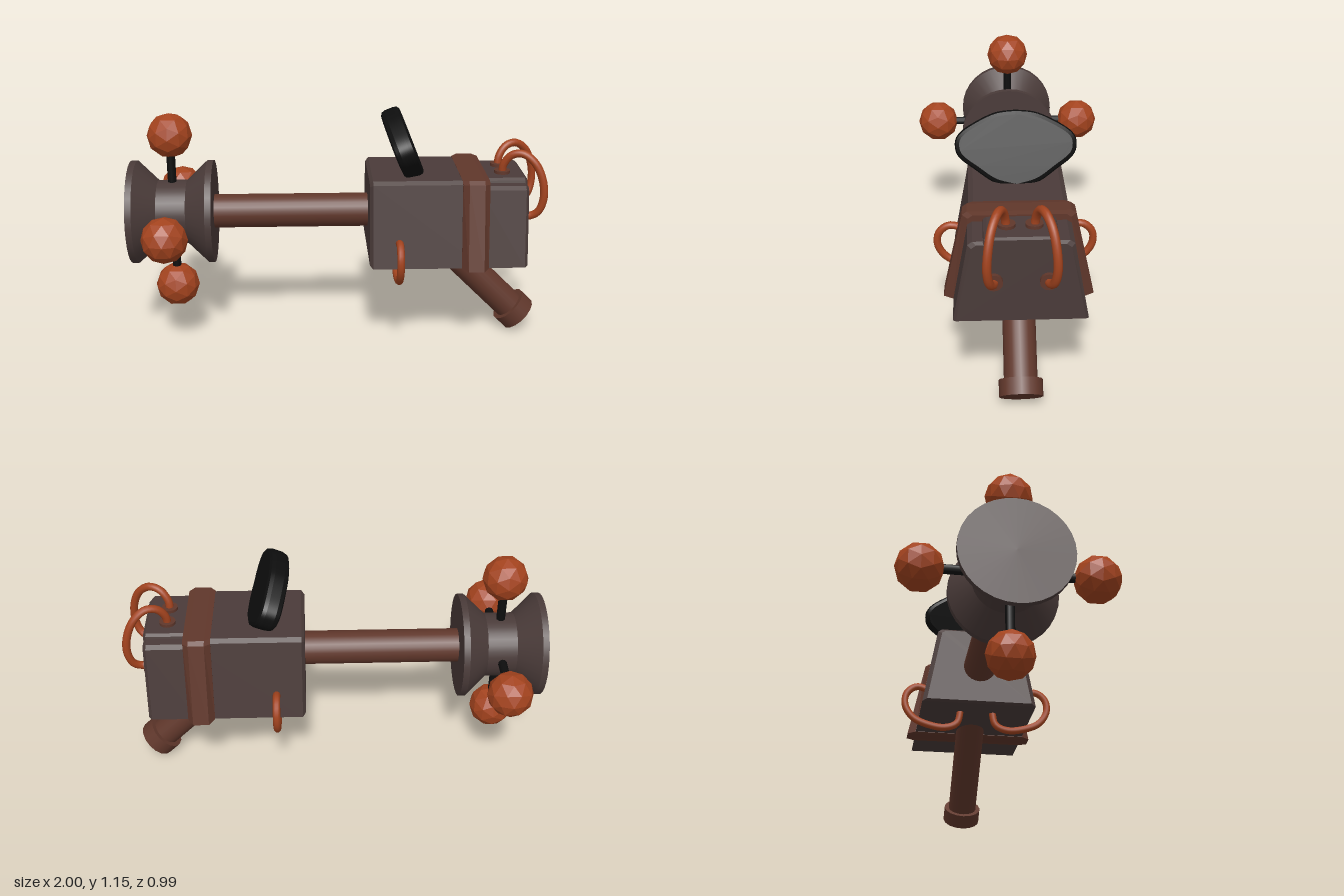
import * as THREE from 'three';

const mat = (color, flatShading = false) =>
  new THREE.MeshStandardMaterial({ color, flatShading });
const HULL = 0x4a3b39, ORANGE = 0xa3431e, BROWN = 0x60372b, BLACK = 0x0e0e0e;
const AXIS_Y = 0.655;

// Lofts a chamfered trapezoid section along x; each section is [x, bottom half, top half, y0, y1]
function trapezoidLoft(sections, chamfer = 0.015) {
  const pos = [], idx = [], n = 6;
  for (const [x, b, t, y0, y1] of sections) {
    const ring = [[b, y0], [t + chamfer * 0.4, y1 - chamfer], [t - chamfer, y1],
      [-t + chamfer, y1], [-t - chamfer * 0.4, y1 - chamfer], [-b, y0]];
    for (const [z, y] of ring) pos.push(x, y, z);
  }
  const last = (sections.length - 1) * n;
  for (let s = 0; s < sections.length - 1; s++) {
    for (let i = 0; i < n; i++) {
      const a = s * n + i, b = s * n + (i + 1) % n;
      idx.push(a, a + n, b, b, a + n, b + n);
    }
  }
  for (let i = 1; i < n - 1; i++) {
    idx.push(0, i, i + 1, last, last + i + 1, last + i);
  }
  const g = new THREE.BufferGeometry();
  g.setAttribute('position', new THREE.Float32BufferAttribute(pos, 3));
  g.setIndex(idx);
  const flat = g.toNonIndexed();
  flat.computeVertexNormals();
  return flat;
}

function tube(points, radius) {
  const curve = new THREE.CatmullRomCurve3(points.map(p => new THREE.Vector3(...p)));
  return new THREE.TubeGeometry(curve, 36, radius, 10);
}

export function createModel() {
  const root = new THREE.Group();
  const add = (name, geometry, color, flat = false, parent = root) => {
    const m = new THREE.Mesh(geometry, mat(color, flat));
    m.name = name;
    parent.add(m);
    return m;
  };

  // Spool-shaped head
  const profile = [[0, -0.2], [0.25, -0.2], [0.25, -0.17], [0.155, -0.07],
    [0.155, 0.07], [0.25, 0.17], [0.25, 0.2], [0, 0.2]];
  const spoolPts = [];
  profile.forEach(([r, y], i) => {
    spoolPts.push(new THREE.Vector2(r, y));
    // doubled points keep the rims crisp
    if (i > 0 && i < profile.length - 1) spoolPts.push(new THREE.Vector2(r, y));
  });
  const spool = add('spool', new THREE.LatheGeometry(spoolPts, 32), HULL);
  spool.rotation.z = -Math.PI / 2;
  spool.position.set(-0.805, AXIS_Y, 0);

  // Four faceted balls on thin rods around the spool
  for (let i = 0; i < 4; i++) {
    const arm = new THREE.Group();
    arm.name = 'ballArm';
    arm.position.set(-0.805, AXIS_Y, 0);
    arm.rotation.x = i * Math.PI / 2;
    root.add(arm);
    add('rod', new THREE.CylinderGeometry(0.021, 0.021, 0.24, 10), BLACK, false, arm).position.y = 0.22;
    add('ball', new THREE.IcosahedronGeometry(0.108, 1), ORANGE, true, arm).position.y = 0.385;
  }

  // Long shaft
  const shaft = add('shaft', new THREE.CylinderGeometry(0.082, 0.082, 0.8, 24), BROWN);
  shaft.rotation.z = Math.PI / 2;
  shaft.position.set(-0.23, AXIS_Y, 0);

  // Housing: front part, raised band, rear part and its top plate
  add('housing', trapezoidLoft([
    [0.14, 0.265, 0.19, 0.465, 0.85], [0.155, 0.288, 0.21, 0.455, 0.862],
    [0.68, 0.288, 0.21, 0.455, 0.862]]), HULL);
  add('rearHousing', trapezoidLoft([
    [0.66, 0.288, 0.215, 0.455, 0.835], [0.875, 0.288, 0.215, 0.455, 0.835],
    [0.89, 0.275, 0.2, 0.46, 0.825]]), HULL);
  add('band', trapezoidLoft([
    [0.575, 0.29, 0.213, 0.453, 0.863], [0.602, 0.33, 0.237, 0.451, 0.868],
    [0.676, 0.33, 0.237, 0.451, 0.868], [0.703, 0.29, 0.213, 0.453, 0.863]]), BROWN);
  add('topPlate', trapezoidLoft([
    [0.69, 0.165, 0.15, 0.8, 0.856], [0.88, 0.165, 0.15, 0.8, 0.856],
    [0.892, 0.16, 0.14, 0.8, 0.848]], 0.01), HULL);

  // Slanted leg with a wider foot
  const leg = new THREE.Group();
  leg.name = 'leg';
  leg.position.set(0.92, 0.078, 0);
  leg.rotation.z = Math.PI / 4;
  root.add(leg);
  add('legTube', new THREE.CylinderGeometry(0.074, 0.074, 0.62, 24), BROWN, false, leg).position.y = 0.34;
  add('foot', new THREE.CylinderGeometry(0.097, 0.097, 0.075, 16), BROWN, false, leg).position.y = 0.0375;

  // Tilted pad on top
  const padShape = new THREE.Shape();
  const half = [[0.09, 0.148], [0.19, 0.1], [0.242, 0.06], [0.252, 0.02],
    [0.235, -0.02], [0.17, -0.07], [0.09, -0.125]];
  padShape.moveTo(0, 0.16);
  padShape.splineThru([...half, [0, -0.15]].map(p => new THREE.Vector2(...p)));
  padShape.splineThru([...half.reverse().map(([x, y]) => [-x, y]), [0, 0.16]]
    .map(p => new THREE.Vector2(...p)));
  const padGeo = new THREE.ExtrudeGeometry(padShape, {
    depth: 0.045, bevelThickness: 0.025, bevelSize: 0.02, bevelSegments: 2, curveSegments: 16 });
  padGeo.translate(0, 0, -0.0225);
  padGeo.rotateY(Math.PI / 2);
  const pad = add('pad', padGeo, BLACK);
  pad.position.set(0.31, 0.982, 0);
  pad.rotation.z = 0.39;

  for (const s of [1, -1]) {
    // Side handle loops, running from the flank to the underside
    add('sideLoop', tube([[0.22, 0.56], [0.31, 0.585], [0.36, 0.545], [0.366, 0.48],
      [0.325, 0.415], [0.25, 0.38], [0.16, 0.368], [0.1, 0.395], [0.08, 0.48]]
      .map(([z, y]) => [0.278, y, s * z]), 0.018), ORANGE);

    // Rear hoses from the plate over to the end face, with sockets
    add('rearHose', tube([[0.785, 0.84, 0.058], [0.79, 0.9, 0.065], [0.825, 0.95, 0.08],
      [0.875, 0.96, 0.098], [0.93, 0.92, 0.122], [0.967, 0.84, 0.138], [0.976, 0.75, 0.143],
      [0.955, 0.68, 0.133], [0.92, 0.655, 0.118], [0.87, 0.652, 0.108]]
      .map(([x, y, z]) => [x, y, s * z]), 0.019), ORANGE);
    add('topSocket', new THREE.CylinderGeometry(0.038, 0.038, 0.03, 16), BROWN)
      .position.set(0.785, 0.855, s * 0.058);
    const socket = add('endSocket', new THREE.CylinderGeometry(0.038, 0.038, 0.03, 16), BROWN);
    socket.rotation.z = Math.PI / 2;
    socket.position.set(0.893, 0.654, s * 0.114);
  }
  return root;
}
